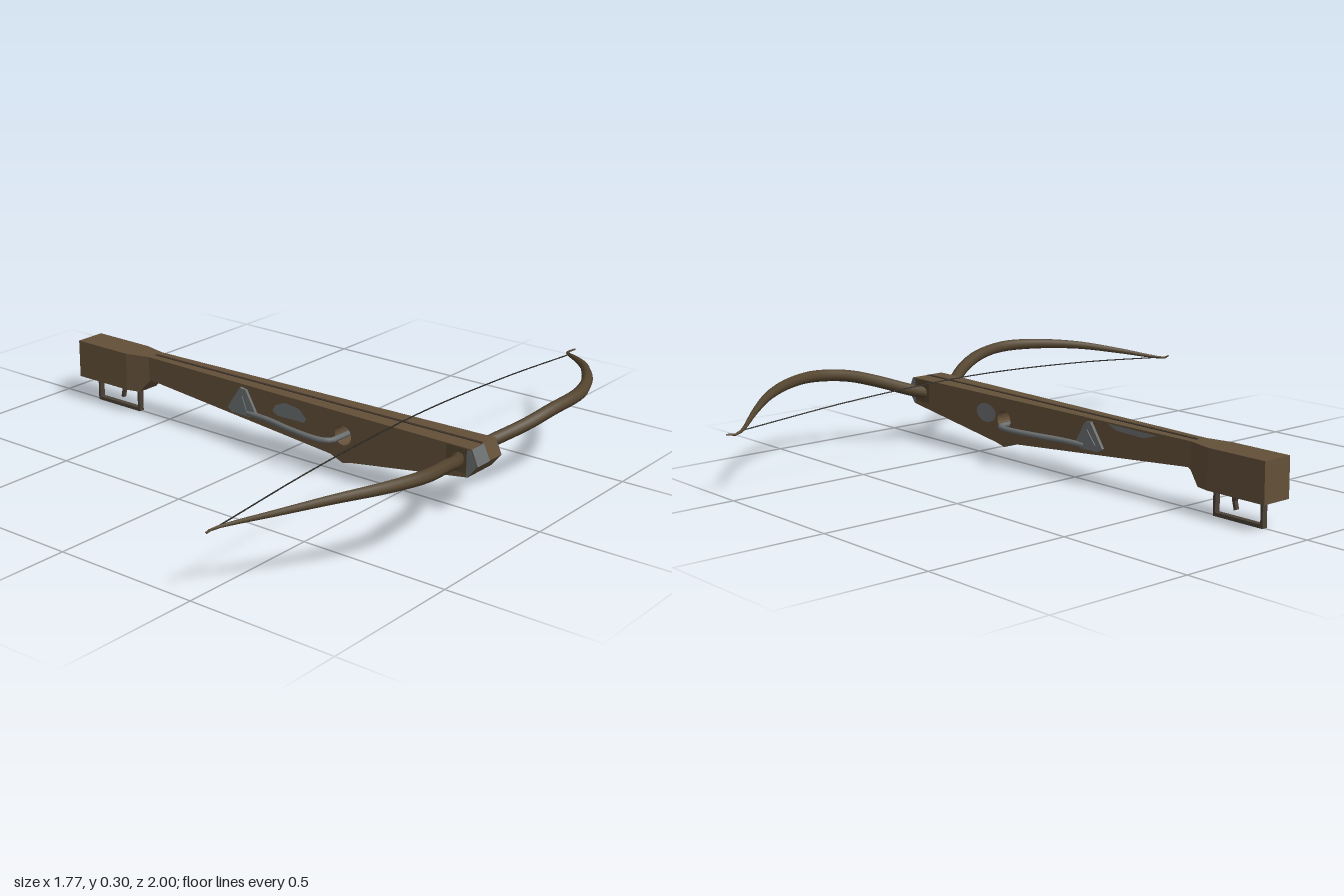
import * as THREE from 'three';

const V = (x, y, z) => new THREE.Vector3(x, y, z);
const mat = (name, color, side = THREE.FrontSide) => {
  const m = new THREE.MeshStandardMaterial({ color, side });
  m.name = name;
  return m;
};

// Half width of the stock along its length: wide butt, thin wrist, wider nose
function halfWidth(x) {
  if (x <= -0.65) return 0.055;
  if (x <= -0.56) return THREE.MathUtils.mapLinear(x, -0.65, -0.56, 0.055, 0.034);
  return THREE.MathUtils.mapLinear(x, -0.56, 0.81, 0.034, 0.066);
}

const shapeOf = (pts) => new THREE.Shape(pts.map(([x, y]) => new THREE.Vector2(x, y)));

// Side profile extruded across z, its two faces moved to the stock's half width
function slab(pts, hole, extra = 0) {
  const shape = shapeOf(pts);
  if (hole) shape.holes.push(new THREE.Path().absarc(hole[0], hole[1], hole[2], 0, Math.PI * 2, true));
  const geo = new THREE.ExtrudeGeometry(shape, { depth: 1, bevelEnabled: false, curveSegments: 12 });
  const p = geo.attributes.position;
  for (let i = 0; i < p.count; i++) {
    p.setZ(i, (p.getZ(i) > 0.5 ? 1 : -1) * (halfWidth(p.getX(i)) + extra));
  }
  geo.computeVertexNormals();
  return geo;
}

// Thin patch lying on one flank of the stock
function patch(pts, side) {
  const geo = new THREE.ShapeGeometry(shapeOf(pts));
  const p = geo.attributes.position;
  for (let i = 0; i < p.count; i++) p.setZ(i, side * (halfWidth(p.getX(i)) + 0.002));
  if (side < 0) {
    const index = geo.index.array;
    for (let i = 0; i < index.length; i += 3) [index[i], index[i + 1]] = [index[i + 1], index[i]];
  }
  geo.computeVertexNormals();
  return geo;
}

// Tube whose radius follows a function of the way along it
function taperedTube(points, segments, sides, radius) {
  const curve = new THREE.CatmullRomCurve3(points);
  const geo = new THREE.TubeGeometry(curve, segments, 1, sides);
  const p = geo.attributes.position;
  const v = V(0, 0, 0);
  for (let i = 0; i < p.count; i++) {
    const t = Math.floor(i / (sides + 1)) / segments;
    const c = curve.getPointAt(t);
    v.fromBufferAttribute(p, i).sub(c).multiplyScalar(radius(t)).add(c);
    p.setXYZ(i, v.x, v.y, v.z);
  }
  return geo;
}

export function createModel() {
  const model = new THREE.Group();
  model.name = 'crossbow';
  const wood = mat('stock brown', 0x635039);
  const limbWood = mat('limb brown', 0x54452f);
  const steel = mat('worn steel', 0x6b6f70, THREE.DoubleSide);
  const darkIron = mat('dark iron', 0x4a4036);
  const cord = mat('string black', 0x2a2825);
  const groove = mat('groove brown', 0x40342a);

  const add = (name, geo, material, parent = model) => {
    const mesh = new THREE.Mesh(geo, material);
    mesh.name = name;
    parent.add(mesh);
    return mesh;
  };
  const box = (name, size, pos, material, parent = model) => {
    const mesh = add(name, new THREE.BoxGeometry(...size), material, parent);
    mesh.position.set(...pos);
    return mesh;
  };

  // Stock in three lengths
  add('butt', slab([[-0.88, 0.09], [-0.65, 0.09], [-0.65, 0.223], [-0.88, 0.223]]), wood);
  add('wrist', slab([[-0.65, 0.09], [-0.6, 0.09], [-0.56, 0.135], [-0.56, 0.224], [-0.65, 0.223]]), wood);
  add('foreStock', slab([[-0.56, 0.135], [-0.55, 0.141], [0.25, 0.077], [0.3, 0.058], [0.34, 0.068],
    [0.78, 0.138], [0.813, 0.18], [0.79, 0.231], [-0.56, 0.224]], [0.3, 0.152, 0.033]), wood);
  const channel = box('boltGroove', [1.34, 0.003, 0.01], [0.115, 0.2285, 0], groove);
  channel.rotation.z = 0.0052;

  // Worn steel patches and limb sockets on the flanks
  const oval = (cx, cy, rx, ry) => Array.from({ length: 12 }, (_, i) => {
    const a = i * Math.PI / 6;
    return [cx + rx * Math.cos(a), cy + ry * Math.sin(a)];
  });
  add('frontFlankPatch', patch([[0.005, 0.165], [0.03, 0.153], [0.14, 0.156], [0.15, 0.17],
    [0.12, 0.198], [0.06, 0.205], [0.02, 0.188]], 1), steel);
  add('rearFlankPatch', patch(oval(0.39, 0.165, 0.05, 0.033), -1), steel);
  add('rearEdgePatch', patch([[-0.42, 0.217], [-0.36, 0.2], [-0.24, 0.205], [-0.2, 0.222]], -1), steel);
  const nosePatch = [[0.775, 0.14], [0.78, 0.138], [0.813, 0.18], [0.79, 0.23], [0.775, 0.225]];
  for (const s of [1, -1]) {
    add('nosePatch', patch(nosePatch, s), steel);
    add('limbSocket', patch([[0.7, 0.15], [0.775, 0.15], [0.775, 0.228], [0.7, 0.228]], s), limbWood);
  }
  const noseCap = box('noseCap', [0.004, 0.056, 0.065], [0.802, 0.205, 0.033], steel);
  noseCap.rotation.z = 0.424;

  // Curved limbs, slightly turned on the stock
  const bow = new THREE.Group();
  bow.name = 'bow';
  bow.rotation.y = 0.017;
  model.add(bow);
  for (const s of [1, -1]) {
    const pts = [[0.725, 0.18, 0.03], [0.748, 0.195, 0.09], [0.81, 0.234, 0.2], [0.842, 0.262, 0.3],
      [0.857, 0.276, 0.43], [0.82, 0.276, 0.555], [0.735, 0.265, 0.7], [0.64, 0.242, 0.82],
      [0.55, 0.218, 0.92], [0.526, 0.211, 0.955], [0.524, 0.209, 0.975], [0.532, 0.212, 0.998]]
      .map(([x, y, z]) => V(x, y, z * s));
    add(s > 0 ? 'leftLimb' : 'rightLimb',
      taperedTube(pts, 36, 8, (t) => (t < 0.4 ? 0.021 : 0.021 - 0.018 * Math.pow((t - 0.4) / 0.6, 1.3))),
      limbWood, bow);
  }

  // String arching over the stock
  const string = [[0.53, 0.212, -0.95], [0.537, 0.247, -0.5], [0.541, 0.264, 0], [0.543, 0.247, 0.5], [0.546, 0.212, 0.95]];
  add('string', taperedTube(string.map((p) => V(...p)), 24, 5, () => 0.0022), cord);

  // Cocking lever: triangular bracket and a loop through the hole
  add('leverBracket', slab([[-0.185, 0.135], [-0.165, 0.122], [-0.085, 0.122], [-0.062, 0.14],
    [-0.105, 0.212], [-0.13, 0.216]], null, 0.01), steel);
  add('leverBracketFace', slab([[-0.155, 0.143], [-0.1, 0.143], [-0.118, 0.19]], null, 0.014), steel);
  const half = [[-0.1, 0.133, 0.05], [0, 0.137, 0.066], [0.1, 0.139, 0.09], [0.2, 0.14, 0.105],
    [0.25, 0.14, 0.103], [0.277, 0.14, 0.088], [0.281, 0.14, 0.055]];
  const loop = [...half, ...half.slice().reverse().map(([x, y, z]) => [x, y, -z])];
  add('leverLoop', taperedTube(loop.map((p) => V(...p)), 60, 8, () => 0.0095), steel);

  // Trigger and its guard
  for (const x of [-0.831, -0.639]) box('guardPost', [0.009, 0.09, 0.02], [x, 0.05, 0], darkIron);
  box('guardBar', [0.201, 0.012, 0.02], [-0.735, 0.006, 0], darkIron);
  const trigger = shapeOf([[-0.735, 0.095], [-0.705, 0.095], [-0.71, 0.06], [-0.717, 0.033], [-0.726, 0.036], [-0.72, 0.062]]);
  const triggerGeo = new THREE.ExtrudeGeometry(trigger, { depth: 0.014, bevelEnabled: false });
  add('trigger', triggerGeo.translate(0, 0, -0.007), darkIron);

  return model;
}
